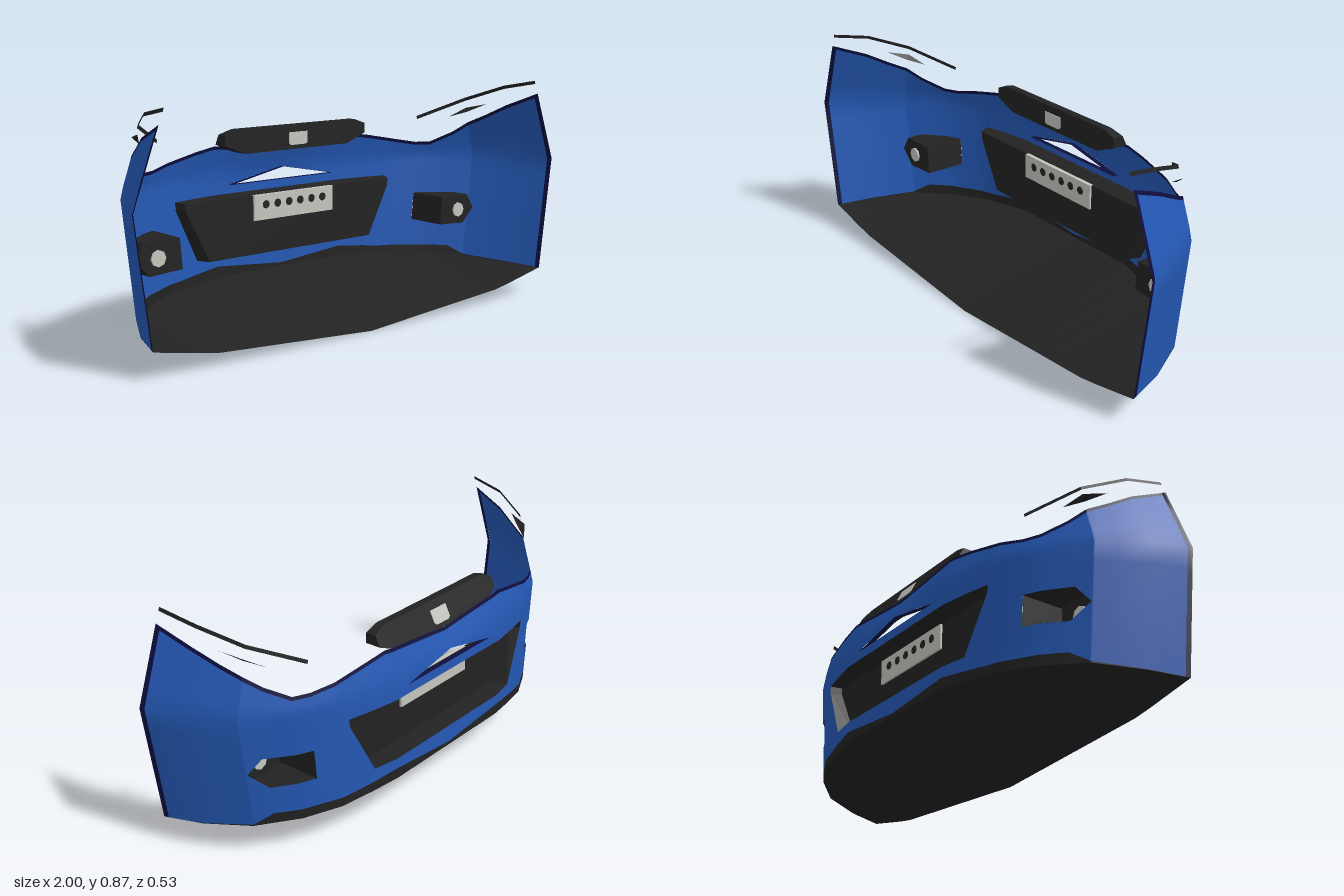
import * as THREE from 'three';
import { mergeGeometries, mergeVertices } from 'three/addons/utils/BufferGeometryUtils.js';

const mat = (name, color) =>
  Object.assign(new THREE.MeshStandardMaterial({ color, side: THREE.DoubleSide }), { name });

// piecewise-linear curve through [u, value] pairs, mirrored about u = 0
const curve = (pts) => (u) => {
  const a = Math.abs(u);
  for (let i = 1; i < pts.length; i++) {
    if (a <= pts[i][0]) {
      const [u0, v0] = pts[i - 1], [u1, v1] = pts[i];
      return v0 + ((v1 - v0) * (a - u0)) / (u1 - u0);
    }
  }
  return pts[pts.length - 1][1];
};

// bumper surface: plan outline, half width by height, and backward lean above the belt
const plan = curve([[0, -0.265], [0.32, -0.265], [0.44, -0.245], [0.58, -0.215], [0.72, -0.15], [0.86, -0.04], [0.95, 0.12], [1, 0.265]]);
const halfWidth = curve([[0.1, 0.94], [0.55, 1], [0.82, 0.9]]);
const surface = (u, y) => [
  u * halfWidth(y), y,
  plan(u) + Math.max(0, y - 0.55) * 0.4 * (1 - Math.abs(u)),
];

// edge curves from bottom to top; paired curves part where there is an opening
const bottom = curve([[0, 0.155], [0.32, 0.155], [0.86, 0.12], [1, 0.1]]);
const lipTop = curve([[0, 0.168], [0.32, 0.195], [0.525, 0.175], [0.8, 0.163], [0.86, 0.125], [1, 0.1]]);
const openLow = curve([[0, 0.235], [0.43, 0.235], [0.525, 0.44], [0.526, 0.455], [0.659, 0.335], [0.66, 0.278], [0.8, 0.27], [0.855, 0.33], [1, 0.33]]);
const openHigh = curve([[0, 0.47], [0.525, 0.47], [0.526, 0.455], [0.659, 0.335], [0.66, 0.39], [0.81, 0.388], [0.855, 0.33], [1, 0.33]]);
const slitLow = curve([[0, 0.505], [0.25, 0.505], [1, 0.55]]);
const slitHigh = curve([[0, 0.553], [0.25, 0.505], [1, 0.55]]);
const top = curve([[0, 0.63], [0.35, 0.66], [0.45, 0.645], [0.58, 0.62], [0.66, 0.605], [0.74, 0.605], [0.86, 0.687], [0.9, 0.72], [0.95, 0.765], [1, 0.82]]);
const rim = (u) => top(u) - 0.013;

const half = [0.12, 0.25, 0.32, 0.35, 0.43, 0.44, 0.525, 0.526, 0.58, 0.659, 0.66, 0.72, 0.8, 0.81, 0.855, 0.86, 0.9, 0.95, 0.994];
const stations = [...half.map((u) => -u).reverse(), 0, ...half];

// sheet of quads from point(i, j)
function grid(cols, rows, point) {
  const pos = [], idx = [];
  for (let i = 0; i <= cols; i++) for (let j = 0; j <= rows; j++) pos.push(...point(i, j));
  for (let i = 0; i < cols; i++) {
    for (let j = 0; j < rows; j++) {
      const a = i * (rows + 1) + j, b = a + rows + 1;
      idx.push(a, a + 1, b, b, a + 1, b + 1);
    }
  }
  const g = new THREE.BufferGeometry();
  g.setAttribute('position', new THREE.Float32BufferAttribute(pos, 3));
  g.setIndex(idx);
  return g;
}

const band = (lo, hi, rows, us = stations) =>
  grid(us.length - 1, rows, (i, j) => surface(us[i], lo(us[i]) + ((hi(us[i]) - lo(us[i])) * j) / rows));

function smooth(parts) {
  const g = mergeVertices(mergeGeometries(parts), 1e-5);
  g.computeVertexNormals();
  return g;
}

function flat(g) {
  const f = g.toNonIndexed();
  f.computeVertexNormals();
  return f;
}

// walls running inward from an opening, closed by a panel at z when asked
function recess(loop, scale, z, closed) {
  const outer = loop.map(([u, y]) => surface(u, y));
  const n = outer.length;
  const cx = outer.reduce((s, p) => s + p[0], 0) / n;
  const cy = (Math.max(...outer.map((p) => p[1])) + Math.min(...outer.map((p) => p[1]))) / 2;
  return flat(grid(n, closed ? 2 : 1, (i, j) => {
    const [x, y, zo] = outer[i % n];
    if (j === 0) return [x, y, zo];
    if (j === 2) return [cx, cy, z];
    return [cx + (x - cx) * scale, cy + (y - cy) * scale, z];
  }));
}

// extruded outline whose outer face follows the slope of the upper bumper
function slopedBlock(outline, inner, proud) {
  const shape = new THREE.Shape(outline.map(([x, y]) => new THREE.Vector2(x, y)));
  const g = new THREE.ExtrudeGeometry(shape, { depth: 1, bevelEnabled: false });
  const p = g.attributes.position;
  for (let i = 0; i < p.count; i++) {
    p.setZ(i, p.getZ(i) > 0.5 ? inner : -0.235 + (p.getY(i) - 0.63) * 0.5 - proud);
  }
  g.computeVertexNormals();
  return g;
}

export function createModel() {
  const model = new THREE.Group();
  model.name = 'carBumper';
  const blue = mat('bluePaint', 0x2458b4);
  const black = mat('blackPlastic', 0x222222);
  const navy = mat('navyEdge', 0x0d0d3c);
  const grey = mat('lightGrey', 0xc4c4be);
  const add = (name, geometry, material) => {
    const m = new THREE.Mesh(geometry, material);
    m.name = name;
    model.add(m);
    return m;
  };

  // painted shell with openings
  add('shell', smooth([
    band(lipTop, openLow, 3), band(openHigh, slitLow, 3), band(slitHigh, rim, 3),
  ]), blue);

  // dark edges along the top and both ends
  const ends = [-1, 1].map((s) => band(bottom, top, 8, [s * 0.994, s]));
  add('shellEdges', smooth([band(rim, top, 1), ...ends]), navy);

  // lower lip and undertray
  add('lowerLip', smooth([band(bottom, lipTop, 1)]), black);
  const trayRear = curve([[0, 0], [0.74, 0.05], [1, 0.1]]);
  const trayUs = [-1, ...stations, 1];
  add('undertray', smooth([grid(trayUs.length - 1, 1, (i, j) => {
    const u = trayUs[i];
    return j ? [u * 0.94, trayRear(u), 0.265] : surface(u, bottom(u));
  })]), black);

  // grille recess
  const grilleHalf = [[0.32, 0.235], [0.43, 0.235], [0.525, 0.44], [0.525, 0.47], [0.44, 0.47], [0.32, 0.47]];
  const grilleLoop = [...grilleHalf, ...grilleHalf.map(([u, y]) => [-u, y]).reverse()];
  add('grille', recess(grilleLoop, 0.965, -0.185, true), black);

  // air slit above the grille
  add('airSlit', recess([[-0.25, 0.505], [0.25, 0.505], [0, 0.553]], 1, -0.245, false), navy);

  // plate with a row of round holes
  add('plate', new THREE.BoxGeometry(0.39, 0.097, 0.016), grey).position.set(0, 0.418, -0.185);
  for (let i = 0; i < 6; i++) {
    const dot = add('plateHole', new THREE.CylinderGeometry(0.016, 0.016, 0.02, 10), black);
    dot.rotation.x = Math.PI / 2;
    dot.position.set(-0.14 + i * 0.056, 0.428, -0.185);
  }

  // upper bar and its badge plate
  const barHalf = [[0.25, 0.632], [0.343, 0.668], [0.343, 0.707], [0.29, 0.725]];
  add('upperBar', slopedBlock([...barHalf, ...barHalf.map(([x, y]) => [-x, y]).reverse()], -0.155, 0), black);
  add('blankBadge', slopedBlock([[-0.045, 0.655], [-0.035, 0.648], [0.035, 0.648], [0.045, 0.655], [0.045, 0.697], [-0.045, 0.697]], -0.152, 0.003), grey);

  for (const s of [-1, 1]) {
    const side = s > 0 ? 'left' : 'right';

    // fog lamp housing and lamp
    const fog = [[0.66, 0.278], [0.72, 0.275], [0.8, 0.27], [0.855, 0.33], [0.81, 0.388], [0.72, 0.39], [0.66, 0.39]];
    add(side + 'FogHousing', recess(fog.map(([u, y]) => [s * u, y]), 1, -0.01, true), black);
    const lamp = add(side + 'FogLamp', new THREE.CylinderGeometry(0.03, 0.03, 0.014, 8), grey);
    lamp.rotation.x = Math.PI / 2;
    lamp.position.set(s * 0.737, 0.33, -0.01);

    // headlight trim strip
    const strip = [[0.88, 0.872, 0.265], [0.86, 0.845, 0.12], [0.79, 0.79, -0.03], [0.635, 0.715, -0.155]];
    add(side + 'HeadlightTrim', flat(grid(3, 1, (i, j) => {
      const [x, y, z] = strip[i];
      return [s * (x + j * 0.004), y - j * 0.013, z];
    })), black);

    // small sliver inside the headlight opening
    const upper = [[0.84, 0.766, 0.045], [0.81, 0.747, -0.04], [0.75, 0.71, -0.08]];
    const lower = [[0.84, 0.766, 0.045], [0.795, 0.732, -0.02], [0.75, 0.71, -0.08]];
    add(side + 'HeadlightSliver', flat(grid(2, 1, (i, j) => {
      const [x, y, z] = (j ? lower : upper)[i];
      return [s * x, y, z];
    })), black);
  }
  return model;
}
